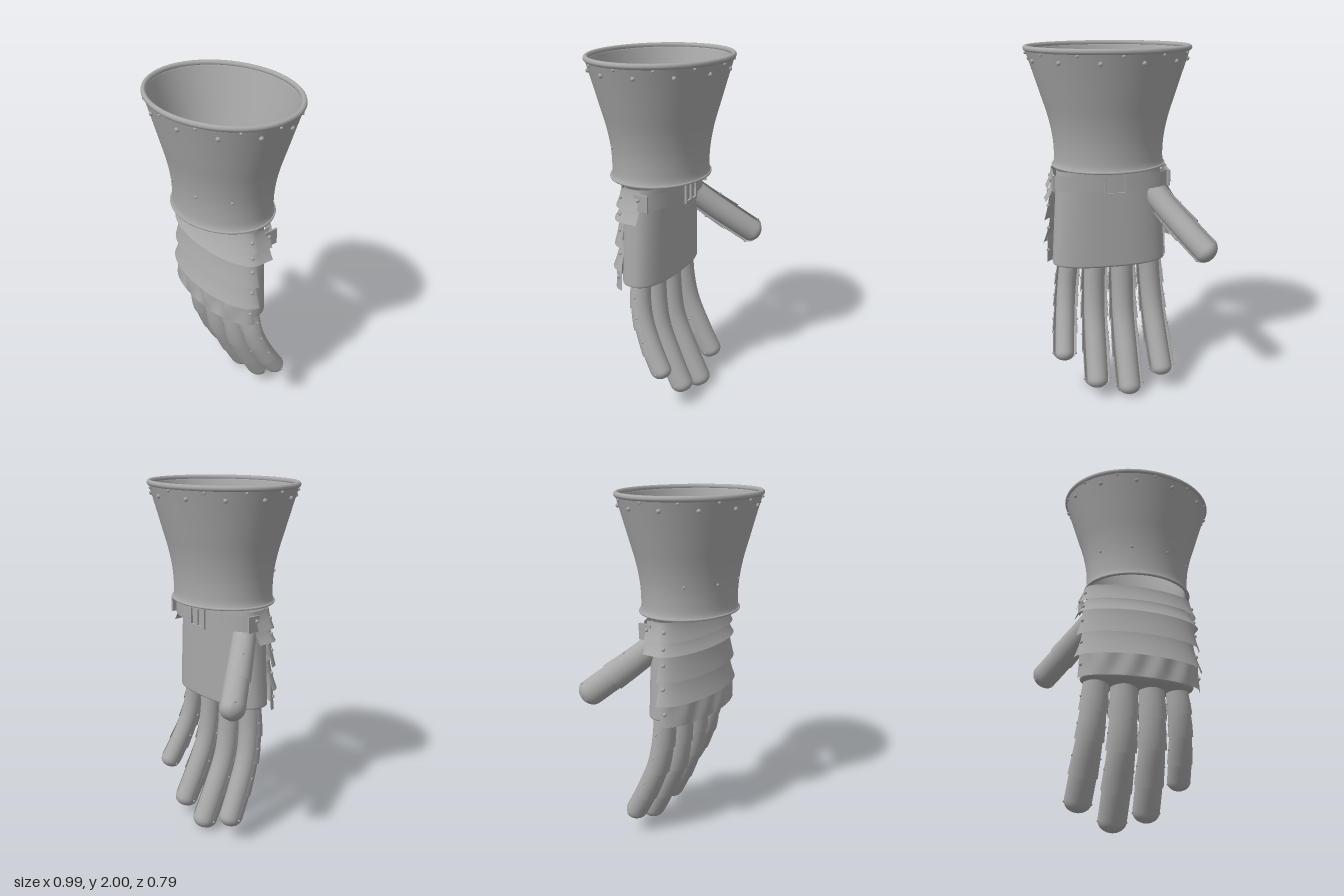
import * as THREE from 'three';

const steel = new THREE.MeshStandardMaterial({ color: 0xa8a8a8, side: THREE.DoubleSide });
steel.name = 'steel grey';

const V = (x, y, z) => new THREE.Vector3(x, y, z);
const CX = 0.036, CZ = 0.02, OVAL = 0.83;

// Smooth sheet whose points come from f(u, v), with u and v in 0..1
function sheet(nu, nv, f) {
  const pos = [], idx = [];
  for (let i = 0; i <= nu; i++)
    for (let j = 0; j <= nv; j++) pos.push(...f(i / nu, j / nv).toArray());
  for (let i = 0; i < nu; i++)
    for (let j = 0; j < nv; j++) {
      const a = i * (nv + 1) + j, b = a + nv + 1;
      idx.push(a, b, a + 1, a + 1, b, b + 1);
    }
  const g = new THREE.BufferGeometry();
  g.setAttribute('position', new THREE.Float32BufferAttribute(pos, 3));
  g.setIndex(idx);
  g.computeVertexNormals();
  return g;
}

function add(parent, name, geometry) {
  const m = new THREE.Mesh(geometry, steel);
  m.name = name;
  parent.add(m);
  return m;
}

function rivet(parent, p, r) {
  add(parent, 'rivet', new THREE.SphereGeometry(r, 10, 6)).position.copy(p);
}

// Flared oval cuff with rolled rim and rivet rows
function cuff() {
  const g = new THREE.Group();
  g.name = 'cuff';
  const outer = new THREE.SplineCurve([[0.318, 1.35], [0.305, 1.39], [0.309, 1.5], [0.332, 1.62],
    [0.372, 1.75], [0.41, 1.87], [0.447, 1.985]].map(p => new THREE.Vector2(...p))).getPoints(30);
  const inner = outer.map(p => new THREE.Vector2(p.x - 0.017, p.y)).reverse();
  const body = add(g, 'cuffShell', new THREE.LatheGeometry([...outer, ...inner, outer[0]], 64));
  const rim = add(g, 'rolledRim', new THREE.TorusGeometry(0.44, 0.015, 10, 64).rotateX(Math.PI / 2));
  rim.position.y = 1.985;
  const lip = add(g, 'lowerLip', new THREE.TorusGeometry(0.313, 0.007, 8, 64).rotateX(Math.PI / 2));
  lip.position.y = 1.355;
  for (const m of [body, rim, lip]) {
    m.scale.z = OVAL;
    m.position.x = CX;
    m.position.z = CZ;
  }
  const at = (deg, r, y) => {
    const a = THREE.MathUtils.degToRad(deg);
    return V(CX + r * Math.sin(a), y, CZ + r * OVAL * Math.cos(a));
  };
  for (let i = 0; i < 12; i++) {
    rivet(g, at(i * 30 + 15, 0.43, 1.926), 0.012);
    rivet(g, at(i * 30, 0.443, 1.963), 0.008);
  }
  for (const d of [-58, -20, 20, 58]) rivet(g, at(d, 0.314, 1.53), 0.008);
  return g;
}

// Glove body: rounded oval tube, closed at the knuckles
function palm() {
  const p = (u, v) => {
    const a = v * Math.PI * 2, s = Math.sin(a), c = Math.cos(a);
    const k = u < 0.75 ? 1 : Math.sqrt(Math.max(0, 1 - ((u - 0.75) / 0.25) ** 4));
    const y = u < 0.75 ? 1.33 - 0.54 * (u / 0.75) : 0.79 - 0.03 * ((u - 0.75) / 0.25);
    const rx = 0.295 + 0.035 * Math.min(1, u / 0.75);
    return V(CX + k * rx * Math.sign(s) * Math.abs(s) ** 0.8, y,
      0.02 + k * 0.13 * Math.sign(c) * Math.abs(c) ** 0.8);
  };
  return sheet(32, 56, p);
}

// Curved plates over the back of the hand; rows of top, bottom, radii and side end
function handPlates() {
  const g = new THREE.Group();
  g.name = 'handPlates';
  const rows = [
    { top: 1.34, low: 1.235, r0: 0.322, r1: 0.356, end: -0.04, rv: 1.29 },
    { top: 1.25, low: 1.162, r0: 0.325, r1: 0.366, end: -0.04, rv: 1.2 },
    { top: 1.19, low: 1.02, r0: 0.335, r1: 0.37, end: 0.05, rv: 1.11 },
    { top: 1.05, low: 0.885, r0: 0.335, r1: 0.38, end: 0.05, rv: 0.975 },
    { top: 0.93, low: 0.76, r0: 0.35, r1: 0.357, end: 0.05, rv: 0.835, bumps: true },
  ];
  for (const { top, low, r0, r1, end, rv, bumps } of rows) {
    const f = (u, v) => {
      const w = Math.abs(v * 2 - 1), side = Math.sign(v * 2 - 1);
      const r = THREE.MathUtils.lerp(r0, r1, u ** 1.5);
      const a = Math.min(1, w / 0.85) * Math.PI / 2;
      const x = r * side * Math.sin(a);
      let z = 0.05 + (r - 0.222) * Math.cos(a);
      if (w > 0.85) z = THREE.MathUtils.lerp(0.05, end, (w - 0.85) / 0.15);
      // Four shallow knuckle swells
      if (bumps) z += 0.012 + 0.013 * Math.cos(x * 39 + Math.PI) * Math.sin(Math.PI * u) * Math.cos(a);
      return V(CX + x, THREE.MathUtils.lerp(top, low, u), z);
    };
    add(g, bumps ? 'knucklePlate' : 'handPlate', sheet(12, 60, f));
    const u = (top - rv) / (top - low);
    for (const v of [0.13, 0.87]) rivet(g, f(u, v), 0.011);
  }
  return g;
}

// Wrist strap around the palm side, with a buckle
function strap() {
  const g = new THREE.Group();
  g.name = 'wristStrap';
  add(g, 'strapBand', sheet(1, 40, (u, v) => {
    const a = (v - 0.5) * Math.PI;
    return V(CX + 0.33 * Math.sin(a), 1.315 - 0.085 * u, -0.02 - 0.135 * Math.cos(a));
  }));
  const bar = (w, h, x, y) =>
    add(g, 'buckle', new THREE.BoxGeometry(w, h, 0.012)).position.set(x, y, -0.167);
  for (const y of [1.22, 1.325]) bar(0.12, 0.014, CX, y);
  for (const x of [-0.055, 0, 0.055]) bar(0.014, 0.105, CX + x, 1.272);
  for (const s of [-1, 1]) {
    add(g, 'strapTab', new THREE.BoxGeometry(0.012, 0.09, 0.08)).position.set(CX + s * 0.325, 1.275, -0.05);
    rivet(g, V(CX + s * 0.334, 1.29, -0.035), 0.011);
  }
  return g;
}

// Digit: round-tipped glove tube plus overlapping half-round plates facing `front`
function digit(name, pts, front, tubeR, plateR, cuts) {
  const g = new THREE.Group();
  g.name = name;
  const curve = new THREE.CatmullRomCurve3(pts.map(p => V(...p)));
  const len = curve.getLength();
  const point = (t, a, r, flat) => {
    const T = curve.getTangentAt(t);
    const N = front.clone().addScaledVector(T, -front.dot(T)).normalize();
    const S = T.clone().cross(N);
    const w = (1 - t) * len / (r * 0.8);
    const k = w < 1 ? Math.sqrt(Math.max(0, 1 - (1 - w) ** 2)) : 1;
    return curve.getPointAt(t).addScaledVector(S, Math.sin(a) * r * k)
      .addScaledVector(N, Math.cos(a) * r * k * flat);
  };
  add(g, 'gloveDigit', sheet(30, 20, (u, v) => point(1 - (1 - u) ** 2, v * Math.PI * 2, tubeR, 1)));
  for (let i = 0; i + 1 < cuts.length; i++) {
    const last = i + 2 === cuts.length;
    const f = (u, v) => {
      const e = last ? 1 - (1 - u) ** 2 : u;
      const t = cuts[i] - 0.02 + (cuts[i + 1] - cuts[i] + 0.02) * e;
      return point(Math.min(1, t), (v - 0.5) * 3.5, plateR * (last ? 0.92 : 0.88 + 0.12 * u), 0.88);
    };
    add(g, 'digitPlate', sheet(last ? 16 : 6, 20, f));
    for (const v of [0.06, 0.94]) rivet(g, f(0.5, v), 0.007);
  }
  return g;
}

export function createModel() {
  const model = new THREE.Group();
  model.name = 'gauntlet';
  model.add(cuff());
  add(model, 'palm', palm());
  model.add(handPlates(), strap());

  // Fingers: base x, tip x, tip height, tip depth, plate radius
  const fingers = [
    ['indexFinger', -0.2, -0.245, 0.095, -0.2, 0.083],
    ['middleFinger', -0.04, -0.042, 0.005, -0.225, 0.088],
    ['ringFinger', 0.122, 0.15, 0.065, -0.21, 0.084],
    ['littleFinger', 0.275, 0.34, 0.25, -0.18, 0.074],
  ];
  for (const [name, x0, x1, y1, z1, r] of fingers) {
    const at = (t, z) => [x0 + (x1 - x0) * t, 0.79 + (y1 - 0.79) * t, z];
    const pts = [at(0, 0.01), at(0.25, 0), at(0.47, -0.03), at(0.75, z1 * 0.56), at(1, z1)];
    model.add(digit(name, pts, V(0, 0, 1), r * 0.73, r, [0.06, 0.26, 0.47, 0.73, 1]));
  }

  // Thumb reaching out and towards the palm side
  model.add(digit('thumb', [[-0.2, 1.2, -0.03], [-0.275, 1.1, -0.13], [-0.365, 0.99, -0.25], [-0.46, 0.88, -0.37]],
    V(-0.7, -0.25, 0.65), 0.066, 0.085, [0.1, 0.6, 1]));
  return model;
}
